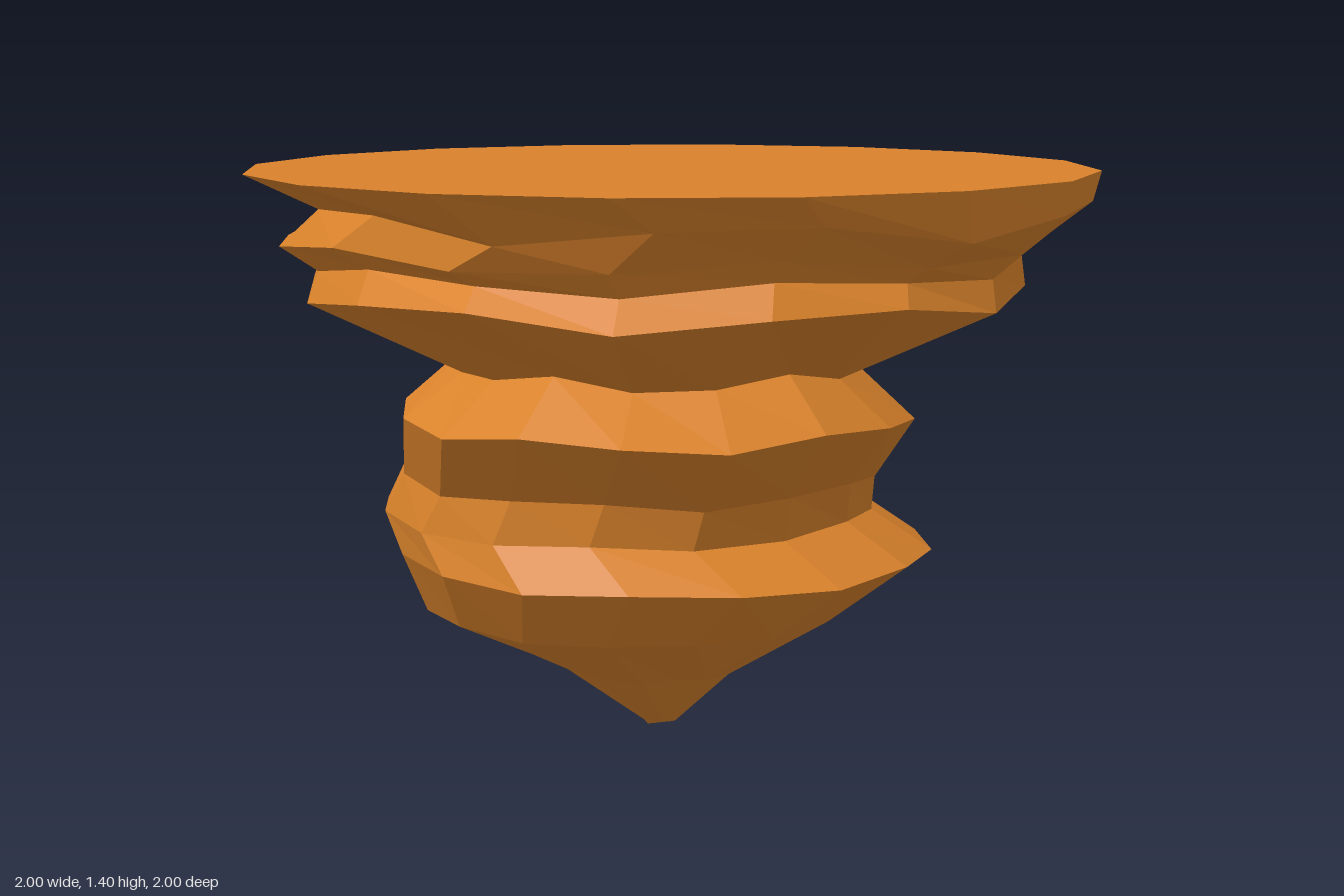
import * as THREE from 'three';

const SIDES = 16;

// Rock strata from top to tip: [height, xMin, xMax, zMin, zMax, waviness]
const STRATA = [
  [1.4, -1, 1, -1, 1, 0],
  [1.315, -0.82, 0.98, -0.84, 0.92, 0.028],
  [1.24, -0.93, 0.89, -0.9, 0.86, 0.018],
  [1.195, -0.83, 0.82, -0.77, 0.82, 0.018],
  [1.13, -0.85, 0.83, -0.8, 0.88, 0.022],
  [0.945, -0.5, 0.45, -0.43, 0.48, 0.018],
  [0.83, -0.64, 0.58, -0.6, 0.63, 0.015],
  [0.66, -0.68, 0.48, -0.7, 0.41, 0.012],
  [0.56, -0.74, 0.47, -0.82, 0.4, 0.008],
  [0.467, -0.69, 0.62, -0.81, 0.48, 0.008],
  [0.315, -0.64, 0.42, -0.74, 0.32, 0.005],
  [0.165, -0.28, 0.15, -0.33, 0.05, 0.005],
  [0.012, -0.09, -0.01, -0.2, -0.16, 0],
];

// Off-centre oval ring with a wavy rim
function ring([y, x0, x1, z0, z1, wave], level) {
  return Array.from({ length: SIDES }, (_, i) => {
    const a = (i / SIDES) * Math.PI * 2;
    const wobble = wave * Math.sin(i * 2.1 + level * 0.7);
    return new THREE.Vector3(
      (x0 + x1) / 2 + ((x1 - x0) / 2) * Math.cos(a),
      y + wobble,
      (z0 + z1) / 2 + ((z1 - z0) / 2) * Math.sin(a)
    );
  });
}

function facetedMesh(name, points, material) {
  const geometry = new THREE.BufferGeometry().setFromPoints(points);
  geometry.computeVertexNormals();
  const mesh = new THREE.Mesh(geometry, material);
  mesh.name = name;
  return mesh;
}

export function createModel() {
  const group = new THREE.Group();
  group.name = 'floatingRock';
  const material = new THREE.MeshStandardMaterial({ color: 0xd9822b, flatShading: true });
  const rings = STRATA.map(ring);

  // Layered rock sides
  const sides = [];
  for (let k = 0; k < rings.length - 1; k++) {
    const up = rings[k], low = rings[k + 1];
    for (let i = 0; i < SIDES; i++) {
      const n = (i + 1) % SIDES;
      sides.push(up[i], up[n], low[i], up[n], low[n], low[i]);
    }
  }

  // Closed point underneath
  const last = rings[rings.length - 1];
  const tip = new THREE.Vector3(-0.08, 0, -0.18);
  for (let i = 0; i < SIDES; i++) sides.push(last[i], last[(i + 1) % SIDES], tip);
  group.add(facetedMesh('rockBody', sides, material));

  // Flat top surface
  const top = [];
  const centre = new THREE.Vector3(0, STRATA[0][0], 0);
  for (let i = 0; i < SIDES; i++) top.push(centre, rings[0][(i + 1) % SIDES], rings[0][i]);
  group.add(facetedMesh('topSurface', top, material));

  return group;
}
